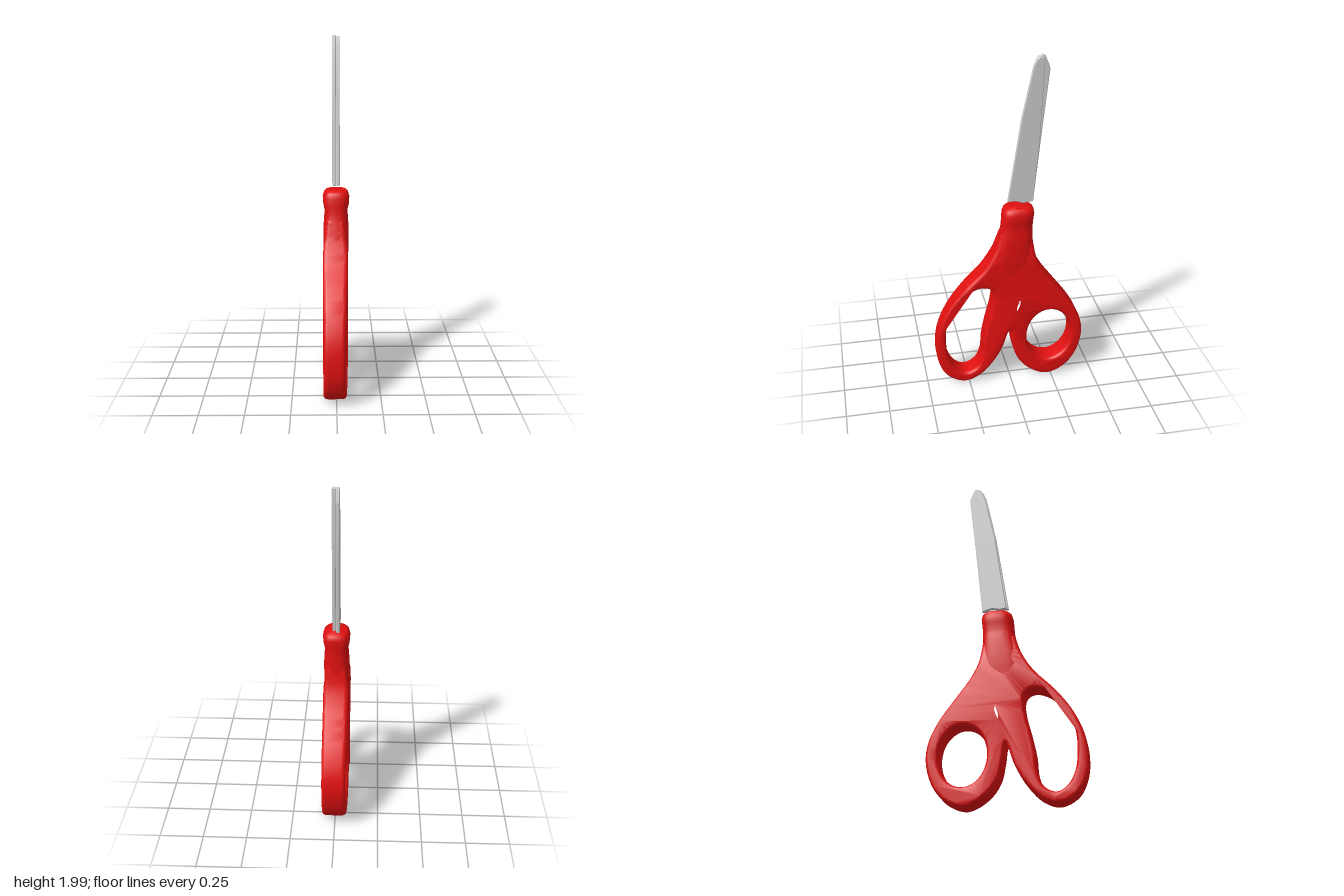
import * as THREE from 'three';
import { toCreasedNormals } from 'three/addons/utils/BufferGeometryUtils.js';

const red = new THREE.MeshStandardMaterial({ color: 0xe01010 });
const steel = new THREE.MeshStandardMaterial({ color: 0xcccccc });

// Closed smooth loop through [z, y] points
function loop(points, divisions) {
  const curve = new THREE.CatmullRomCurve3(points.map(([z, y]) => new THREE.Vector3(z, y, 0)), true);
  return curve.getPoints(divisions).slice(0, -1).map((p) => new THREE.Vector2(p.x, p.y));
}

// Extrude a side profile (z, y) across x, with edges rounded inwards, centred on x = 0
function slab(shape, thickness, size, depth, segments) {
  const geo = new THREE.ExtrudeGeometry(shape, {
    depth: thickness - 2 * depth, bevelEnabled: true, bevelSize: size,
    bevelOffset: -size, bevelThickness: depth, bevelSegments: segments, steps: 1,
  });
  geo.translate(0, 0, depth - thickness / 2);
  return geo.rotateY(-Math.PI / 2);
}

function addMesh(group, geo, material, name) {
  const mesh = new THREE.Mesh(geo, material);
  mesh.name = name;
  group.add(mesh);
  return mesh;
}

// Both finger loops and the waist where they cross (outline clockwise, holes anticlockwise)
function handleGeometry() {
  const outline = [
    [0.04, 0.985], [0.062, 0.94], [0.09, 0.865], [0.155, 0.76], [0.27, 0.64], [0.36, 0.52],
    [0.42, 0.39], [0.441, 0.27], [0.43, 0.15], [0.38, 0.055], [0.28, 0.008], [0.19, 0.04],
    [0.115, 0.115], [0.05, 0.22], [0.013, 0.325], [0, 0.345], [-0.013, 0.26], [-0.04, 0.15],
    [-0.11, 0.06], [-0.22, 0.008], [-0.325, 0.045], [-0.4, 0.135], [-0.438, 0.27], [-0.425, 0.38],
    [-0.37, 0.495], [-0.28, 0.62], [-0.2, 0.73], [-0.155, 0.82], [-0.135, 0.92], [-0.12, 0.985],
  ];
  const fingerHole = [
    [0.105, 0.52], [0.135, 0.4], [0.16, 0.28], [0.17, 0.177], [0.205, 0.1], [0.27, 0.07],
    [0.325, 0.1], [0.368, 0.177], [0.384, 0.31], [0.37, 0.425], [0.32, 0.53], [0.245, 0.615],
    [0.165, 0.648], [0.12, 0.635], [0.1, 0.6],
  ];
  const middleGap = [
    [-0.03, 0.54], [-0.02, 0.485], [-0.035, 0.45], [-0.07, 0.505], [-0.076, 0.55], [-0.055, 0.58],
  ];
  const shape = new THREE.Shape(loop(outline, 180));
  shape.holes.push(new THREE.Path(loop(fingerHole, 72)));
  shape.holes.push(new THREE.Path(loop(middleGap, 30)));
  const thumbHole = new THREE.Path().absellipse(-0.235, 0.29, 0.135, 0.172, 0, Math.PI * 2);
  shape.holes.push(new THREE.Path(thumbHole.getPoints(48).slice(0, -1)));

  const geo = slab(shape, 0.144, 0.018, 0.026, 5);
  // The loops sit slightly to opposite sides, thin out towards their ends and sink into the neck
  const pos = geo.attributes.position;
  for (let i = 0; i < pos.count; i++) {
    const z = pos.getZ(i);
    const taper = 1 - 0.3 * THREE.MathUtils.smoothstep(pos.getY(i), 0.78, 0.98);
    const scale = taper * (1 - (z > 0 ? 1.1 : 0.4) * z * z);
    pos.setX(i, pos.getX(i) * scale - 0.002 - 0.02 * z);
  }
  return toCreasedNormals(geo, 0.7);
}

// Rounded neck that holds the blades: rings of y, centre z, half depth, half width
function neckGeometry() {
  const rings = [
    [1.137, -0.055, 0.07, 0.058], [1.125, -0.055, 0.084, 0.069], [1.1, -0.054, 0.091, 0.076],
    [1.06, -0.05, 0.09, 0.073], [1.02, -0.047, 0.09, 0.064], [0.99, -0.044, 0.092, 0.068],
    [0.94, -0.038, 0.1, 0.071], [0.87, -0.027, 0.115, 0.0715], [0.8, -0.022, 0.128, 0.071],
    [0.7, -0.02, 0.13, 0.062],
  ];
  const rows = rings.length - 1;
  const geo = new THREE.CylinderGeometry(1, 1, 1, 40, rows);
  const pos = geo.attributes.position;
  const round = (v) => Math.sign(v) * Math.abs(v) ** 0.7;
  for (let i = 0; i < pos.count; i++) {
    const [y, zc, hz, hx] = rings[Math.round((0.5 - pos.getY(i)) * rows)];
    pos.setXYZ(i, hx * round(pos.getX(i)), y, zc + hz * round(pos.getZ(i)));
  }
  return toCreasedNormals(geo, 0.8);
}

// Thin blade from a side profile
function bladeGeometry(points) {
  const shape = new THREE.Shape(points.map(([z, y]) => new THREE.Vector2(z, y)));
  return toCreasedNormals(slab(shape, 0.021, 0.004, 0.004, 1), 0.4);
}

export function createModel() {
  const model = new THREE.Group();
  model.name = 'scissors';

  const handle = new THREE.Group();
  handle.name = 'handle';
  addMesh(handle, handleGeometry(), red, 'fingerLoops');
  addMesh(handle, neckGeometry(), red, 'neck');

  const blades = new THREE.Group();
  blades.name = 'blades';
  // Blade that reaches further back
  addMesh(blades, bladeGeometry([
    [-0.002, 1.17], [-0.04, 1.162], [-0.085, 1.172], [-0.142, 1.155], [-0.19, 1.6], [-0.227, 1.92],
    [-0.222, 1.94], [-0.2, 1.995], [-0.185, 2], [-0.16, 1.99], [-0.135, 1.93], [-0.07, 1.63],
  ]), steel, 'rearBlade').position.x = -0.0105;
  // Blade that reaches further forward
  addMesh(blades, bladeGeometry([
    [0.008, 1.17], [-0.035, 1.172], [-0.08, 1.158], [-0.138, 1.165], [-0.17, 1.5], [-0.19, 1.9],
    [-0.188, 1.99], [-0.165, 1.995], [-0.148, 1.98], [-0.132, 1.945], [-0.07, 1.66],
  ]), steel, 'frontBlade').position.x = 0.0105;

  model.add(handle, blades);
  return model;
}
